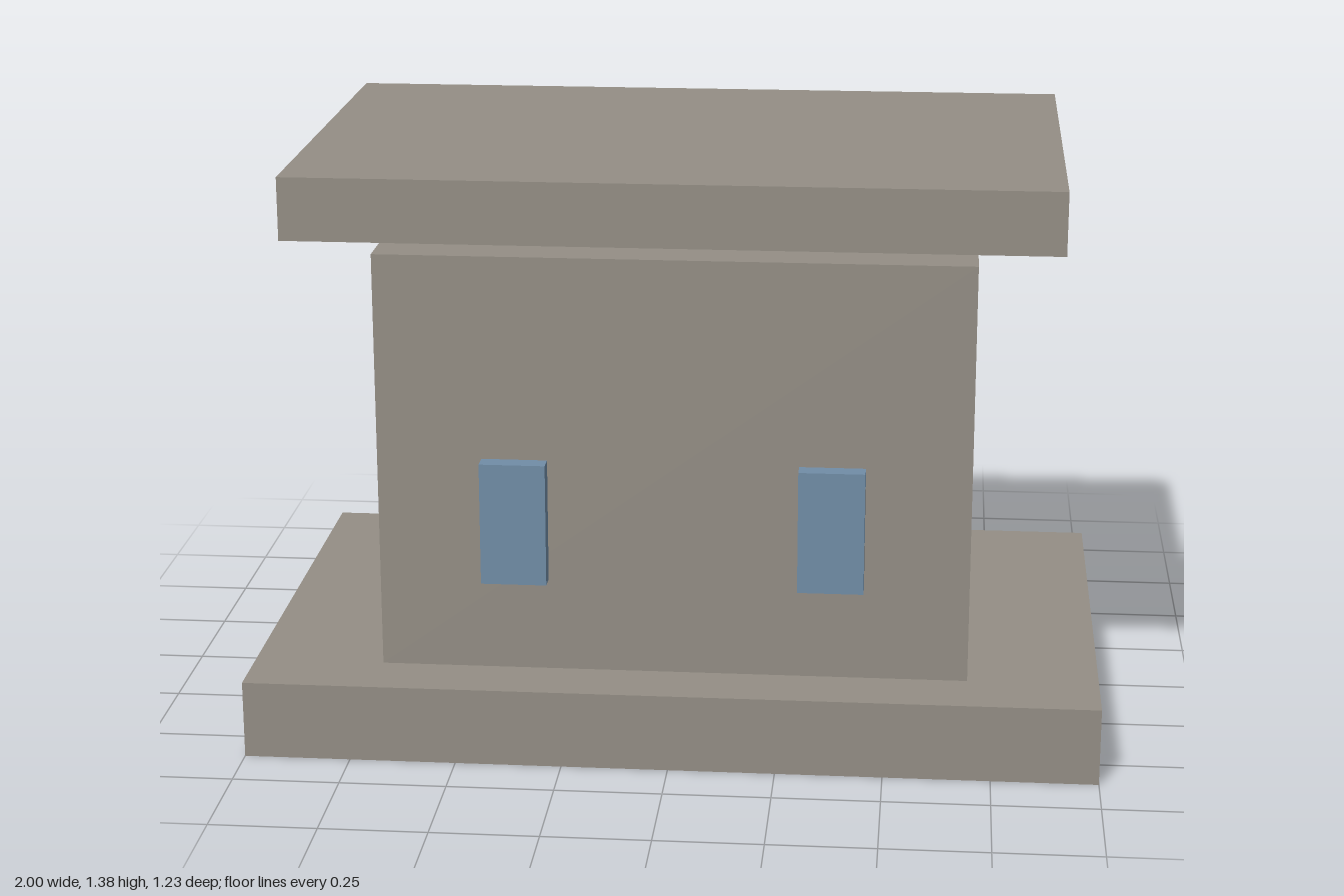
import * as THREE from 'three';

export function createModel() {
  const model = new THREE.Group();
  model.name = 'smallHouse';

  const stone = new THREE.MeshStandardMaterial({ color: 0x948e85 });
  stone.name = 'warm grey stone';
  const glass = new THREE.MeshStandardMaterial({ color: 0x718da7 });
  glass.name = 'blue window';

  // Adds a box standing on height y, centred on x and z
  function addBox(name, [w, h, d], [x, y, z], material) {
    const mesh = new THREE.Mesh(new THREE.BoxGeometry(w, h, d), material);
    mesh.name = name;
    mesh.position.set(x, y + h / 2, z);
    model.add(mesh);
  }

  // Plinth, walls and the slab roof floating just above the walls
  addBox('base', [2, 0.185, 1.23], [0, 0, 0], stone);
  addBox('walls', [1.385, 1.002, 0.922], [0, 0.185, 0], stone);
  addBox('roof', [1.77, 0.147, 1.106], [0, 1.237, 0], stone);

  // Two protruding front windows, set into the wall
  for (const side of [-1, 1]) {
    addBox(side > 0 ? 'leftWindow' : 'rightWindow',
      [0.154, 0.293, 0.09], [side * 0.37, 0.409, 0.46], glass);
  }

  return model;
}
